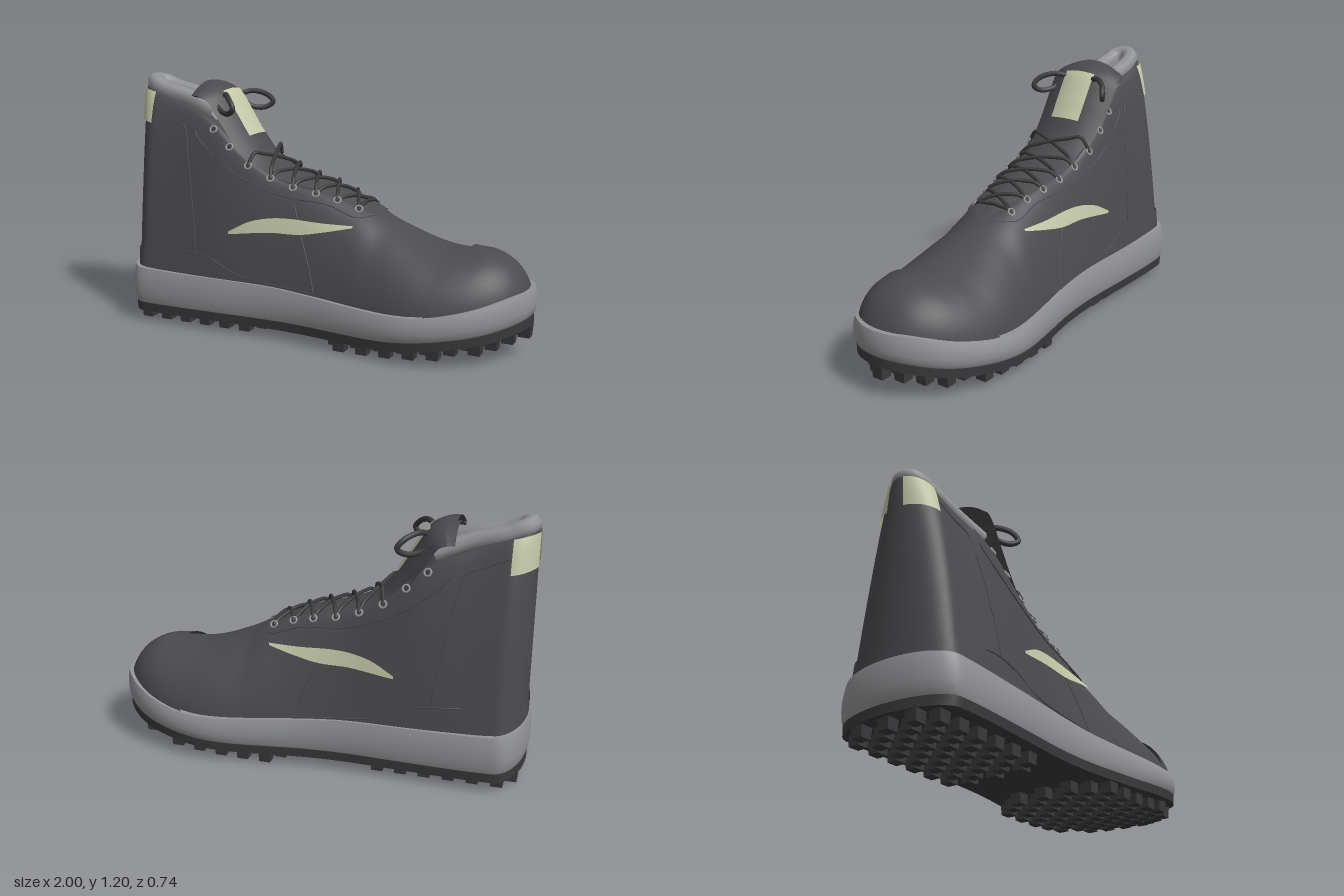
import * as THREE from 'three';
import { mergeVertices, toCreasedNormals } from 'three/addons/utils/BufferGeometryUtils.js';

const mat = (name, color) => new THREE.MeshStandardMaterial({ name, color, side: THREE.DoubleSide });
const V = (x, y, z) => new THREE.Vector3(x, y, z);

// smooth curve through [x, value] pairs
function table(...p) {
  const slope = i => {
    const a = p[Math.max(0, i - 1)], b = p[Math.min(p.length - 1, i + 1)];
    return (b[1] - a[1]) / (b[0] - a[0]);
  };
  return x => {
    if (x <= p[0][0]) return p[0][1];
    if (x >= p[p.length - 1][0]) return p[p.length - 1][1];
    let i = 0;
    while (x > p[i + 1][0]) i++;
    const h = p[i + 1][0] - p[i][0], t = (x - p[i][0]) / h, t2 = t * t, t3 = t2 * t;
    return (2 * t3 - 3 * t2 + 1) * p[i][1] + (t3 - 2 * t2 + t) * h * slope(i)
      + (3 * t2 - 2 * t3) * p[i + 1][1] + (t3 - t2) * h * slope(i + 1);
  };
}

// surface from a function of (u, v) in 0..1
function grid(fn, nu, nv, crease) {
  const pos = [], idx = [];
  for (let i = 0; i <= nu; i++) for (let j = 0; j <= nv; j++) pos.push(...fn(i / nu, j / nv).toArray());
  for (let i = 0; i < nu; i++) for (let j = 0; j < nv; j++) {
    const a = i * (nv + 1) + j, b = a + nv + 1;
    idx.push(a, b, a + 1, b, b + 1, a + 1);
  }
  let g = new THREE.BufferGeometry();
  g.setAttribute('position', new THREE.Float32BufferAttribute(pos, 3));
  g.setIndex(idx);
  g = mergeVertices(g, 1e-5);
  if (crease) return toCreasedNormals(g, crease);
  g.computeVertexNormals();
  return g;
}

// rounded ends in plan: heel at x0, toe at x1
const round = (x, x0, r0, x1, r1) => {
  const f = u => Math.sqrt(Math.max(0, 1 - (1 - Math.min(1, u)) ** 2));
  return f((x - x0) / r0) * f((x1 - x) / r1);
};

// sole shape
const soleW = table([-1, .295], [-.8, .31], [-.5, .305], [-.2, .295], [0, .305], [.2, .335], [.4, .365], [.5, .37], [1, .37]);
const soleHalf = x => soleW(x) * round(x, -1, .12, 1, .52);
const soleTop = table([-1, .28], [-.85, .265], [-.2, .25], [.1, .23], [.4, .215], [.6, .22], [.8, .26], [.95, .305], [1, .31]);
const soleLow = table([-1, .09], [.3, .09], [.5, .1], [.7, .125], [.85, .15], [1, .19]);

// upper shape: half width, edge height, half opening and straightness of the walls along x
const upW = table([-.98, .265], [-.8, .277], [-.5, .28], [-.2, .272], [0, .28], [.2, .305], [.4, .33], [.5, .335], [1, .335]);
const upHalf = x => upW(x) * round(x, -.98, .12, .97, .5);
const upTop = table([-.98, 1.14], [-.8, 1.085], [-.6, 1.01], [-.5, .95], [-.4, .86], [-.3, .785], [-.2, .73], [-.1, .7], [0, .68],
  [.1, .655], [.2, .62], [.3, .577], [.4, .532], [.5, .492], [.6, .467], [.7, .46], [.8, .45], [.88, .41], [.93, .355], [.96, .29], [.97, .24]);
const openW = table([-.98, .095], [-.75, .1], [-.6, .125], [-.45, .145], [-.3, .15], [-.15, .135], [0, .11], [.15, .07], [.25, .04], [.32, 0], [.4, 0]);
const openHalf = x => openW(x) * round(x, -.98, .12, .97, .5);
const straight = table([-.98, .58], [-.2, .58], [.1, .38], [.3, .13], [.5, 0], [.6, 0]);
const upBase = x => soleTop(x) - .05;
function skin(x, t, side, d = 0) {
  const c = openHalf(x), k = straight(x), b = upBase(x);
  const z = c + (upHalf(x) - c) * ((1 - k) * Math.sqrt(Math.max(0, 1 - t * t)) + k * (1 - t));
  return V(x * (1 + d), b + (upTop(x) - b) * t + d * t, side * z * (1 + 4 * d));
}
const skinAt = (x, y, side, d) => skin(x, Math.min(1, Math.max(0, (y - upBase(x)) / (upTop(x) - upBase(x)))), side, d);

export function createModel() {
  const model = new THREE.Group();
  model.name = 'boot';
  const upperMat = mat('charcoal upper', 0x4b4a4d), greyMat = mat('grey foam', 0x929395);
  const rubberMat = mat('dark rubber', 0x3a3a3c), accent = mat('pale green', 0xc4c8a8);
  const add = (name, geo, m, parent = model) => {
    const mesh = new THREE.Mesh(geo, m);
    mesh.name = name;
    parent.add(mesh);
    return mesh;
  };
  const group = name => { const g = new THREE.Group(); g.name = name; model.add(g); return g; };
  const tube = (pts, r, n = 32) => new THREE.TubeGeometry(new THREE.CatmullRomCurve3(pts), n, r, 8);

  // sole layers: rows of [length scale, width inset, height]
  const layers = (rows, crease) => grid((u, v) => {
    const a = u * Math.PI * 2, x = -Math.cos(a), [sx, inset, y] = rows[Math.round(v * (rows.length - 1))];
    const s = u === 0 || u === 1 || u === .5 ? 0 : Math.sign(Math.sin(a));
    return V(x * sx, y(x), s * soleHalf(x) * (1 - inset));
  }, 128, rows.length - 1, crease);
  const mix = f => x => soleLow(x) + (soleTop(x) - soleLow(x)) * f;
  add('midsole', layers([[.985, .03, mix(0)], [.995, .01, mix(.12)], [1, 0, mix(.35)], [1, 0, mix(.6)], [.997, .02, mix(.85)],
    [.992, .04, mix(1)], [.97, .1, mix(1)], [.955, .16, x => soleTop(x) - .04], [.955, 1, x => soleTop(x) - .04]], .7), greyMat);
  add('outsole', layers([[.98, .2, mix(.05)], [.99, .02, mix(.02)], [.99, .03, x => soleLow(x) - .04], [.985, 1, x => soleLow(x) - .04]], .6), rubberMat);

  // blocky tread lugs in staggered columns under heel and forefoot
  const lugs = group('treadLugs'), lugGeo = new THREE.CylinderGeometry(.042, .037, .06, 4).rotateY(Math.PI / 4).toNonIndexed();
  lugGeo.computeVertexNormals();
  for (const [x0, x1] of [[-.94, -.24], [.08, .96]])
    for (let j = -4; j <= 4; j++)
      for (let x = x0 + (j % 2 ? .055 : 0); x <= x1; x += .11) {
        const z = j * .07;
        if (Math.abs(z) > soleHalf(x) - .045) continue;
        add('lug', lugGeo, rubberMat, lugs).position.set(x, soleLow(x) - .06, z);
      }

  // upper body
  const N = 29;
  const across = v => {
    const s = 2 * v - 1, a = Math.max(0, (Math.abs(s) - 1 / N) / (1 - 1 / N));
    return [Math.sin((1 - a) * Math.PI / 2), Math.sign(s)];
  };
  add('upper', grid((u, v) => skin(-.005 - .975 * Math.cos(u * Math.PI), ...across(v)), 110, N), upperMat);

  // toe cap
  add('toeCap', grid((u, v) => {
    const [t, s] = across(v), x0 = .53 + .165 * Math.pow(t, .6);
    return skin(x0 + (.97 - x0) * Math.sin(u * Math.PI / 2), t, s, .012);
  }, 30, N), upperMat);

  // overlay panels following the upper, mirrored on both sides
  const panel = (name, x0, x1, lo, hi, d, m) => {
    const g = group(name);
    for (const s of [1, -1]) add(name + (s > 0 ? 'Left' : 'Right'), grid((u, v) => {
      const x = x0 + (x1 - x0) * (x0 < -.95 ? u * u : u);
      return skinAt(x, lo(x) + (hi(x) - lo(x)) * v, s, d);
    }, 40, 12), m, g);
  };
  const guardTop = [[-.97, .345], [-.68, .37], [-.5, .35], [-.35, .285], [.06, .24]];
  const stayLow = [[-.62, .93], [-.6, .9], [-.4, .75], [-.17, .66], [.07, .625], [.2, .58], [.27, .585]];
  panel('mudguard', -.98, .06, upBase, table(...guardTop), .006, upperMat);
  panel('eyestay', -.62, .27, table(...stayLow), upTop, .006, upperMat);
  panel('heelTab', -.975, -.87, table([-.98, .975], [-.87, .955]), table([-.98, 1.125], [-.87, 1.1]), .009, accent);
  panel('sideStripe', -.4, .2, table([-.4, .467], [-.2, .488], [-.05, .49], [.07, .51], [.2, .536]),
    table([-.4, .48], [-.3, .53], [-.2, .552], [-.1, .556], [.05, .548], [.2, .544]), .009, accent);

  // raised seams along the panel edges
  const seams = group('seams');
  const heelEdge = [[-.87, 1.03], [-.78, .99], [-.69, .95], [-.655, .82], [-.62, .65], [-.595, .5], [-.58, .37]];
  for (const line of [guardTop, stayLow, heelEdge, [[-.09, .62], [-.04, .49], [.01, .37], [.05, .25]]])
    for (const s of [1, -1])
      add('seam', tube(line.map(([x, y]) => skinAt(x, y, s, line === guardTop || line === stayLow ? .006 : .001)), .003, 48), upperMat, seams);

  // padded collar and its lining
  const half = [[-.54, 1.02, .1], [-.7, 1.08, .067], [-.85, 1.118, .06], [-.92, 1.147, .042]];
  const collar = [...half.map(p => V(...p)), V(-.942, 1.157, 0), ...half.slice().reverse().map(([x, y, z]) => V(x, y, -z))];
  add('collar', tube(collar, .041, 60), greyMat);
  add('collarLining', grid((u, v) => V(-.93 + .36 * u, upTop(-.93 + .36 * u) + .012, (v - .5) * .13), 10, 2), greyMat);

  // tongue: arched sheet along a curve
  const spine = [[-.63, 1.17], [-.58, 1.165], [-.51, 1.13], [-.44, 1.03], [-.37, .92], [-.28, .81], [-.15, .745], [.05, .69], [.27, .595]];
  const curve = new THREE.CatmullRomCurve3(spine.map(([x, y]) => V(x, y, 0)));
  const tongueW = table([0, .17], [.12, .182], [.25, .175], [.5, .17], [.6, .163], [.75, .135], [.88, .1], [1, .04]);
  const drop = table([0, .065], [.5, .055], [.75, .025], [1, .012]);
  const tongueAt = (s, q, off) => {
    const p = curve.getPoint(s), t = curve.getTangent(s);
    return p.addScaledVector(V(-t.y, t.x, 0), off - drop(s) * q * q).setZ(tongueW(s) * q);
  };
  add('tongue', grid((u, v) => {
    const w = v * 2, top = w <= 1;
    return tongueAt(u, top ? 2 * w - 1 : 3 - 2 * w, top ? 0 : -.03);
  }, 48, 24, .9), upperMat);
  add('tongueLabel', grid((u, v) => tongueAt(.25 + .25 * u, (v * 2 - 1) * .46, .006), 12, 10), accent);

  // eyelets just outside the throat edge
  const eyes = group('eyelets'), ring = new THREE.TorusGeometry(.016, .005, 8, 16), hole = new THREE.CircleGeometry(.015, 14);
  const eyeX = [-.52, -.43, -.33, -.22, -.11, 0, .1, .2];
  const eyeAt = (i, s) => skinAt(eyeX[i], upTop(eyeX[i]) - (i < 3 ? .025 : .012), s, .01);
  eyeX.forEach((x, i) => [1, -1].forEach(s => {
    const q = new THREE.Quaternion().setFromUnitVectors(V(0, 0, 1), V(.15, .6, s * (i < 3 ? 1.2 : .8)).normalize());
    for (const [name, geo, m] of [['eyeletRing', ring, greyMat], ['eyeletHole', hole, rubberMat]]) {
      const e = add(name, geo, m, eyes);
      e.position.copy(eyeAt(i, s));
      e.quaternion.copy(q);
    }
  }));

  // crossed laces over the tongue
  const laces = group('laces'), tongueY = table(...spine);
  const lace = (a, b, lift) => {
    const pts = [0, .12, .3, .5, .7, .88, 1].map(f => {
      const p = a.clone().lerp(b, f), q = 2 * f - 1;
      if (f > 0 && f < 1) p.y = Math.max(p.y + .012, tongueY(p.x) + lift - .03 * q * q);
      return p;
    });
    add('lace', tube(pts, .009, 24), rubberMat, laces);
  };
  for (let i = 2; i < 7; i++) for (const s of [1, -1]) lace(eyeAt(i, s), eyeAt(i + 1, -s), s > 0 ? .011 : .021);
  lace(eyeAt(7, 1), eyeAt(7, -1), .012);

  // bow loops at the top of the tongue
  for (const s of [1, -1])
    add('laceLoop', tube([[-.51, 1.1, .07], [-.47, 1.112, .13], [-.42, 1.09, .185], [-.395, 1.055, .2], [-.43, 1.028, .18], [-.49, 1.035, .145], [-.53, 1.07, .13]]
      .map(([x, y, z]) => V(x, y, z * s)), .013, 40), rubberMat, laces);
  return model;
}
